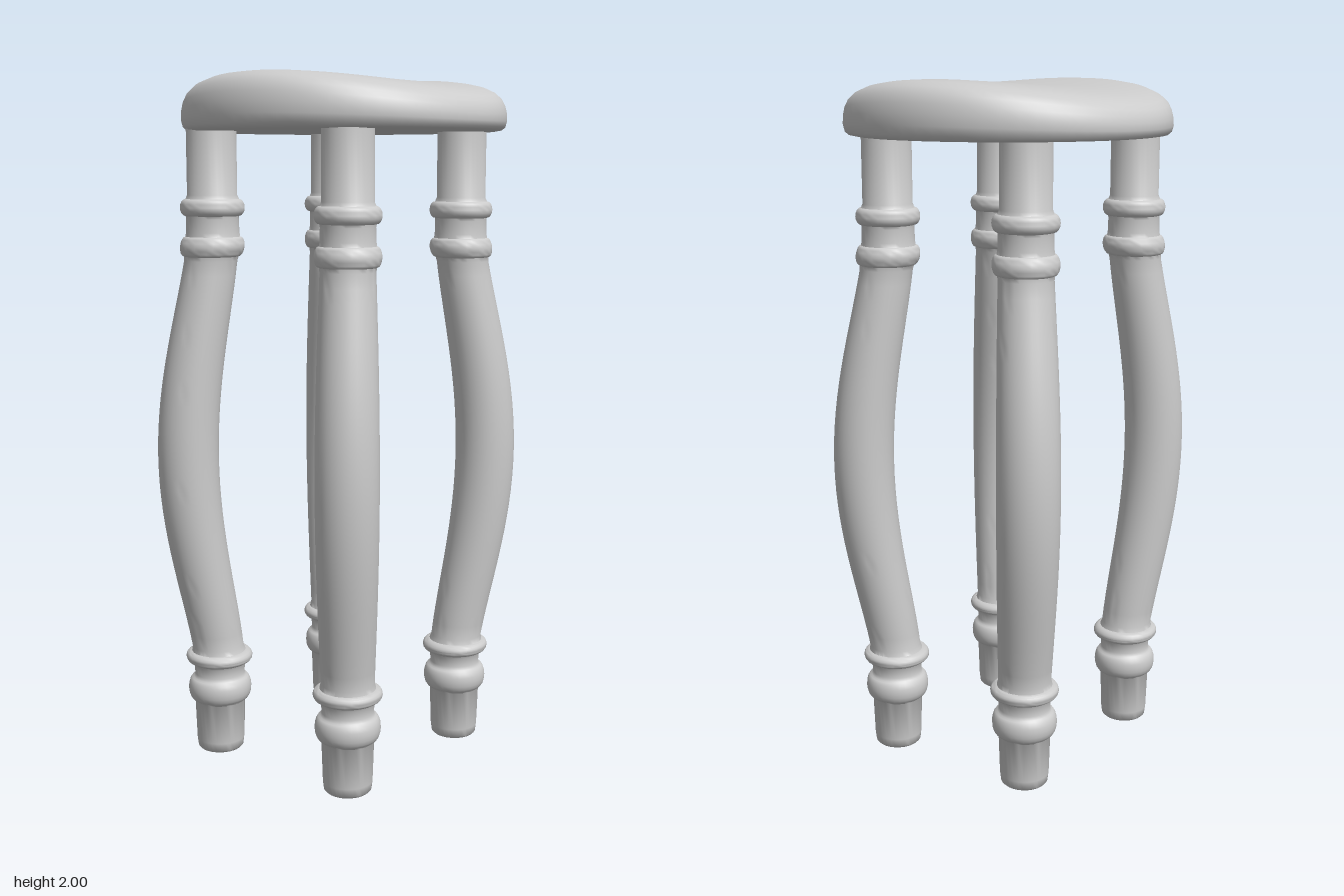
import * as THREE from 'three';
import { mergeVertices, toCreasedNormals } from 'three/addons/utils/BufferGeometryUtils.js';

const material = new THREE.MeshStandardMaterial({ color: 0xcccccc });

// Lathe a profile, move each vertex by a rule, then smooth it with sharp creases.
function turned(profile, segments, rule) {
  let geo = new THREE.LatheGeometry(profile.map(([r, y]) => new THREE.Vector2(r, y)), segments);
  const pos = geo.attributes.position;
  const v = new THREE.Vector3();
  for (let i = 0; i < pos.count; i++) {
    v.fromBufferAttribute(pos, i);
    rule(v);
    pos.setXYZ(i, v.x, v.y, v.z);
  }
  geo.deleteAttribute('uv');
  geo.deleteAttribute('normal');
  geo = mergeVertices(geo, 1e-5);
  return toCreasedNormals(geo, 0.8);
}

// Half-round moulding on the leg profile.
function ring(y, halfHeight, base, bulge) {
  const pts = [];
  for (let i = 0; i <= 8; i++) {
    const a = (i / 8) * Math.PI;
    pts.push([base + bulge * Math.sin(a), y - halfHeight * Math.cos(a)]);
  }
  return pts;
}

// Swelling shaft between the lower and upper mouldings.
function shaft(y0, y1) {
  const pts = [];
  for (let i = 0; i <= 28; i++) {
    const t = i / 28;
    pts.push([0.076 + 0.012 * Math.sin(Math.PI * t), y0 + (y1 - y0) * t]);
  }
  return pts;
}

const legProfile = [
  [0, 0], [0.062, 0], [0.068, 0.006], [0.071, 0.03], [0.075, 0.15],
  ...ring(0.19, 0.035, 0.078, 0.016),
  [0.074, 0.235], [0.076, 0.262],
  ...ring(0.288, 0.018, 0.08, 0.019),
  ...shaft(0.32, 1.47),
  ...ring(1.51, 0.028, 0.078, 0.014),
  [0.076, 1.55], [0.075, 1.588],
  ...ring(1.62, 0.024, 0.076, 0.016),
  [0.071, 1.655], [0.071, 1.87], [0, 1.87],
];

// Each leg bows outward between its mouldings.
function makeLeg(name, x, z, bowX, bowZ, lift) {
  const geo = turned(legProfile, 32, (v) => {
    const t = THREE.MathUtils.clamp((v.y - 0.28) / 1.25, 0, 1);
    const bow = Math.pow(Math.max(0, Math.sin(Math.PI * t)), 1.3);
    v.x += bowX * bow;
    v.z += bowZ * bow;
  });
  const leg = new THREE.Mesh(geo, material);
  leg.name = name;
  leg.position.set(x, lift, z);
  return leg;
}

// Round seat, falling away to the left and right like a shallow saddle.
function makeSeat() {
  const base = 1.845;
  const profile = [
    [0, base], [0.2, base], [0.435, base], [0.452, 1.849], [0.461, 1.86], [0.466, 1.885],
    [0.465, 1.915], [0.46, 1.943], [0.45, 1.967], [0.433, 1.984], [0.405, 1.995],
    [0.37, 1.999], [0.32, 2], [0.25, 1.997], [0.17, 1.992], [0.09, 1.989], [0, 1.988],
  ];
  const geo = turned(profile, 64, (v) => {
    v.y = base + (v.y - base) * (1 - 0.42 * (v.x / 0.47) ** 2);
  });
  const seat = new THREE.Mesh(geo, material);
  seat.name = 'seat';
  return seat;
}

export function createModel() {
  const stool = new THREE.Group();
  stool.name = 'stool';
  stool.add(
    makeSeat(),
    makeLeg('frontLeftLeg', 0.24, 0.285, 0.045, 0.06, 0),
    makeLeg('frontRightLeg', -0.24, 0.3, -0.045, 0.07, 0.012),
    makeLeg('backLeftLeg', 0.24, -0.25, 0.058, -0.062, 0.002),
    makeLeg('backRightLeg', -0.24, -0.25, -0.058, -0.066, 0.012),
  );
  return stool;
}
